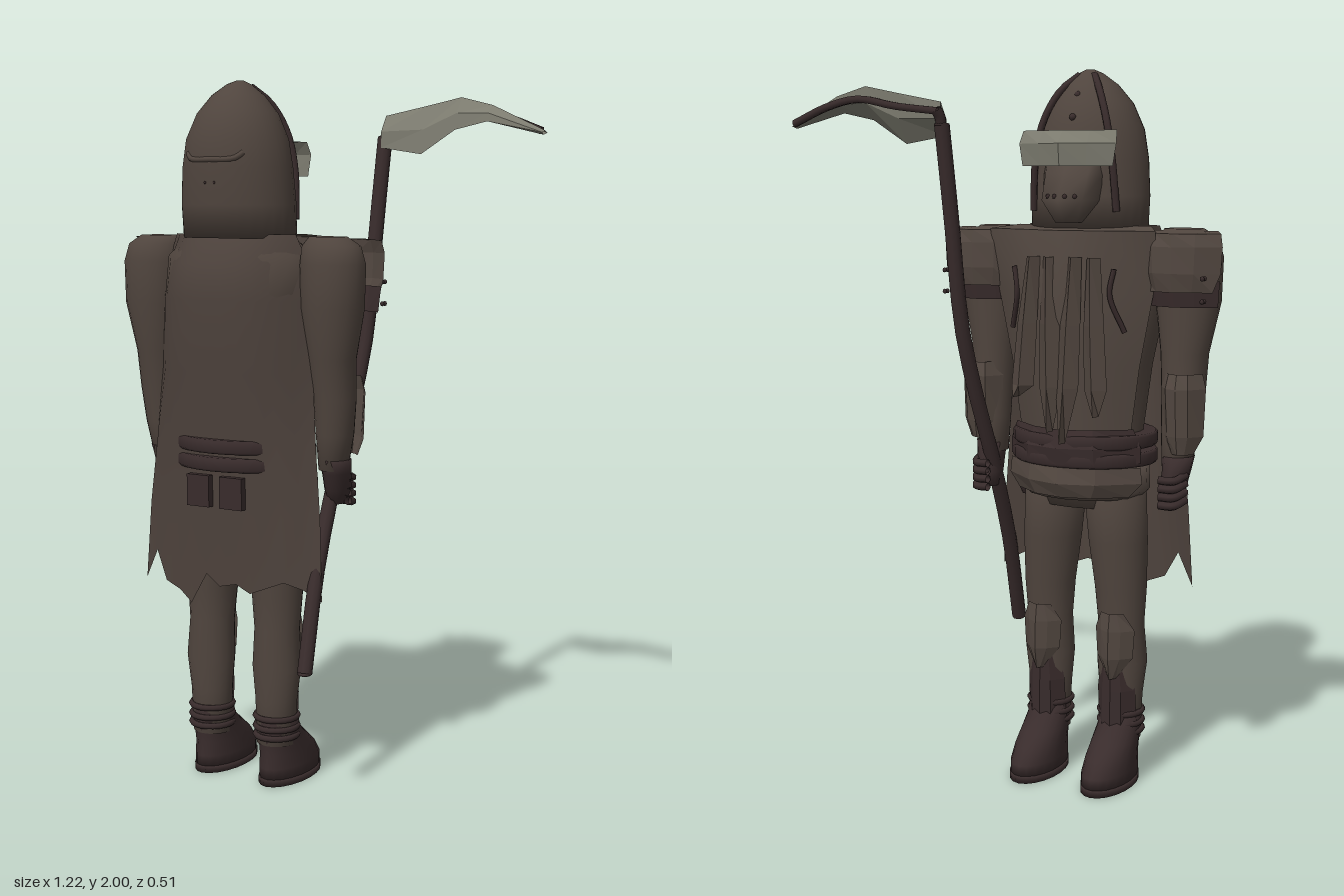
import * as THREE from 'three';

const mat = (name, color) => {
  const m = new THREE.MeshStandardMaterial({ color, side: THREE.DoubleSide });
  m.name = name;
  return m;
};

export function createModel() {
  const cloth = mat('brown cloth', 0x50453e);
  const capeCloth = mat('cape cloth', 0x4d423c);
  const armor = mat('weathered armor', 0x534841);
  const dark = mat('dark leather', 0x392c2c);
  const metal = mat('grey metal', 0x7c7b6f);

  const root = new THREE.Group();
  root.name = 'hoodedWarrior';
  const body = new THREE.Group();
  body.name = 'body';
  body.position.x = -0.2;
  root.add(body);

  const add = (name, geo, material, parent = body) => {
    const m = new THREE.Mesh(geo, material);
    m.name = name;
    parent.add(m);
    return m;
  };

  // Smooth closed form through elliptical rings [y, x, z, rx, rz], bottom to top
  const loft = (rings, n = 20) => {
    const pos = [], idx = [];
    for (const [y, x, z, rx, rz] of rings)
      for (let i = 0; i < n; i++) {
        const a = (i / n) * Math.PI * 2;
        pos.push(x + Math.cos(a) * rx, y, z + Math.sin(a) * rz);
      }
    const top = rings.length - 1;
    for (const k of [0, top]) pos.push(rings[k][1], rings[k][0], rings[k][2]);
    const c0 = rings.length * n;
    for (let i = 0; i < n; i++) {
      const j = (i + 1) % n;
      for (let r = 0; r < top; r++) {
        const a = r * n + i, b = r * n + j;
        idx.push(a, a + n, b, b, a + n, b + n);
      }
      idx.push(c0, i, j, c0 + 1, top * n + j, top * n + i);
    }
    const g = new THREE.BufferGeometry();
    g.setAttribute('position', new THREE.Float32BufferAttribute(pos, 3));
    g.setIndex(idx);
    g.computeVertexNormals();
    return g;
  };

  // Thin panel through rows of points
  const sheet = (rows, flat = true) => {
    const w = rows[0].length, idx = [];
    for (let r = 0; r < rows.length - 1; r++)
      for (let i = 0; i < w - 1; i++) {
        const a = r * w + i;
        idx.push(a, a + w, a + 1, a + 1, a + w, a + w + 1);
      }
    let g = new THREE.BufferGeometry();
    g.setAttribute('position', new THREE.Float32BufferAttribute(rows.flat(2), 3));
    g.setIndex(idx);
    if (flat) g = g.toNonIndexed();
    g.computeVertexNormals();
    return g;
  };

  const tube = (pts, r, n = 8) => new THREE.TubeGeometry(
    new THREE.CatmullRomCurve3(pts.map(p => new THREE.Vector3(...p))), 16, r, n);

  // Creased plate: rows [y, halfWidth, edgeZ, midZ, peakZ] about a centre x
  const plate = (cx, rows, flat = true) => sheet(rows.map(([y, w, e, m, p]) =>
    [[-1, e], [-0.5, m], [0, p], [0.5, m], [1, e]].map(([u, z]) => [cx + u * w, y, z])), flat);

  // Torso
  add('torso', loft([[0.8, 0, 0.07, 0.15, 0.1], [0.9, 0, 0.07, 0.18, 0.13], [1.0, 0, 0.07, 0.165, 0.14],
    [1.2, 0, 0.075, 0.19, 0.15], [1.42, 0, 0.08, 0.235, 0.165], [1.52, 0, 0.08, 0.23, 0.14],
    [1.58, 0, 0.08, 0.15, 0.11]], 28), cloth);
  const chestTop = [1.57, 0.25, -0.035, -0.07, -0.1];
  add('chestPlate', plate(0, [chestTop, [1.4, 0.235, -0.01, -0.09, -0.125],
    [1.2, 0.195, -0.005, -0.08, -0.11], [1.02, 0.17, 0, -0.07, -0.1]], false), armor);
  add('chestTop', plate(0, [chestTop, [1.58, 0.2, 0.05, 0.02, 0]]), armor);

  // Ragged chest cloths
  [[-0.1, 1.08, -0.02], [-0.045, 1.0, 0.01], [0.03, 1.03, -0.015], [0.08, 1.12, 0.02]].forEach(([x, end, drift]) => {
    add('chestCloth', sheet([1.5, 1.32, 1.15, end].map((y, k) => {
      const w = [0.02, 0.03, 0.034, 0.006][k], z = [-0.113, -0.13, -0.138, -0.15][k], c = x + drift * k / 2;
      return [[c - w, y, z + 0.014], [c, y, z - 0.012], [c + w, y, z + 0.014]];
    })), cloth);
  });

  // Belts, hip bands and rear flaps
  for (const y of [0.925, 0.975])
    add('belt', loft([[y, 0, 0.065, 0.205, 0.168], [y + 0.007, 0, 0.065, 0.21, 0.177],
      [y + 0.032, 0, 0.065, 0.21, 0.177], [y + 0.039, 0, 0.065, 0.205, 0.168]], 28), dark);
  add('hipBand', loft([[0.83, 0, 0.06, 0.17, 0.13], [0.85, 0, 0.06, 0.195, 0.14],
    [0.925, 0, 0.06, 0.19, 0.145]], 16), armor);
  add('frontBelt', plate(0, [[1.03, 0.18, -0.005, -0.075, -0.105], [0.98, 0.2, 0, -0.095, -0.122],
    [0.935, 0.2, 0, -0.09, -0.115]]), dark);
  add('frontHipPlate', plate(0, [[0.925, 0.2, 0, -0.08, -0.105], [0.88, 0.205, 0, -0.085, -0.115],
    [0.84, 0.17, -0.01, -0.075, -0.095]]), armor);
  for (const x of [-0.055, 0.055])
    add('rearFlap', new THREE.BoxGeometry(0.075, 0.09, 0.02).translate(x, 0.865, 0.215), dark);

  // Cape with torn hem
  const hem = [0.57, 0.66, 0.58, 0.56, 0.53, 0.62, 0.59, 0.6, 0.58, 0.6, 0.62, 0.6, 0.57];
  const capeRows = [[1.58, 0.2, 0.11, 0.19], [1.5, 0.235, 0.1, 0.235], [1.4, 0.25, 0.105, 0.25],
    [1.2, 0.255, 0.11, 0.235], [1.0, 0.27, 0.12, 0.212], [0.8, 0.29, 0.13, 0.205], [0, 0.302, 0.14, 0.2]];
  add('cape', sheet(capeRows.map(([y, w, e, c]) => hem.map((h, i) => {
    const t = i / 6 - 1, fold = y < 0.9 ? (i % 2) * 0.008 : 0;
    return [w * t, y || h, e + (c - e) * (1 - Math.abs(t) ** 2.6) - fold];
  })), false), capeCloth);

  // Hood
  add('hood', loft([[1.57, 0, 0.085, 0.168, 0.135], [1.66, 0, 0.09, 0.169, 0.14], [1.76, 0, 0.095, 0.161, 0.14],
    [1.84, 0, 0.095, 0.147, 0.134], [1.91, 0, 0.093, 0.116, 0.108], [1.96, 0, 0.09, 0.074, 0.072],
    [1.99, 0, 0.085, 0.034, 0.035], [2.0, 0, 0.08, 0.012, 0.012]], 28), cloth);
  add('hoodFold', tube([[-0.09, 1.8, 0.2], [-0.07, 1.785, 0.214], [0, 1.782, 0.228], [0.07, 1.785, 0.214],
    [0.09, 1.8, 0.2]], 0.009), cloth);
  for (const s of [-1, 1]) {
    add('hoodTrim', tube([[s * 0.022, 1.985, 0.06], [s * 0.06, 1.94, 0.015], [s * 0.095, 1.86, -0.015],
      [s * 0.115, 1.76, -0.022], [s * 0.125, 1.62, -0.012]], 0.01, 6), dark);
    add('backEyelet', new THREE.SphereGeometry(0.004, 6, 4).translate(s * 0.015, 1.72, 0.232), dark);
  }
  for (const [y, z] of [[1.93, 0.005], [1.87, -0.027]])
    add('browStud', new THREE.SphereGeometry(0.01, 8, 6).translate(0, y, z), dark);

  // Face mask, visor and breathing holes
  add('faceMask', loft([[1.59, 0, -0.03, 0.045, 0.05], [1.65, 0, -0.035, 0.085, 0.08],
    [1.72, 0, -0.02, 0.09, 0.06], [1.8, 0, -0.01, 0.08, 0.05]], 8), armor);
  const visorRim = [1.835, 0.14, -0.045, -0.065, -0.085];
  add('visor', plate(0, [visorRim, [1.8, 0.145, -0.06, -0.088, -0.115],
    [1.74, 0.135, -0.06, -0.084, -0.108]]), metal);
  add('visorTop', plate(0, [visorRim, [1.835, 0.12, -0.01, -0.02, -0.03]]), metal);
  for (const x of [-0.04, -0.015, 0.015, 0.04])
    add('maskHole', new THREE.SphereGeometry(0.007, 6, 4).translate(x, 1.66, -0.11 + Math.abs(x) * 0.4), dark);

  for (const s of [-1, 1]) {
    // Arms
    add('sleeve', loft([[0.93, s * 0.285, 0.05, 0.04, 0.045], [1.03, s * 0.293, 0.055, 0.053, 0.055],
      [1.13, s * 0.297, 0.062, 0.06, 0.06], [1.24, s * 0.295, 0.072, 0.066, 0.066], [1.38, s * 0.3, 0.08, 0.09, 0.083],
      [1.5, s * 0.3, 0.08, 0.094, 0.083], [1.55, s * 0.295, 0.08, 0.085, 0.07], [1.575, s * 0.285, 0.08, 0.055, 0.045]]), cloth);
    const shoulderTop = [1.565, 0.115, 0.015, -0.025, -0.045];
    add('shoulderPlate', plate(s * 0.3, [shoulderTop, [1.53, 0.122, 0.01, -0.035, -0.05],
      [1.46, 0.118, 0.01, -0.035, -0.05], [1.41, 0.1, 0, -0.025, -0.04]]), armor);
    add('shoulderCap', plate(s * 0.3, [shoulderTop, [1.57, 0.09, 0.06, 0.06, 0.06]]), armor);
    add('lowerShoulderPlate', plate(s * 0.3, [[1.44, 0.114, 0.015, -0.02, -0.035],
      [1.37, 0.108, 0.02, -0.01, -0.025]]), dark);
    add('forearmGuard', plate(s * 0.31, [[1.19, 0.055, 0.03, -0.01, -0.02], [1.15, 0.065, 0.03, -0.02, -0.03],
      [1.02, 0.06, 0.03, -0.01, -0.02], [0.97, 0.035, 0.02, 0, -0.01]]), armor);
    for (const y of [1.39, 1.45])
      for (const z of [-0.035, -0.05])
        add('shoulderStud', new THREE.SphereGeometry(0.007, 6, 4).translate(s * 0.39, y, z), dark);

    // Gloves
    add('glove', loft([[0.83, s * 0.28, 0.02, 0.022, 0.03], [0.87, s * 0.285, 0.025, 0.035, 0.045],
      [0.92, s * 0.29, 0.04, 0.038, 0.05], [0.96, s * 0.29, 0.05, 0.045, 0.05]], 12), dark);
    for (let i = 0; i < 4; i++)
      add('finger', tube([[s * 0.32, 0.91 - i * 0.023, 0.03], [s * 0.305, 0.9 - i * 0.023, -0.02],
        [s * 0.265, 0.9 - i * 0.023, -0.025]], 0.012, 6), dark);

    // Legs
    add('leg', loft([[0.12, s * 0.112, 0.08, 0.058, 0.055], [0.25, s * 0.113, 0.08, 0.062, 0.058],
      [0.35, s * 0.115, 0.08, 0.073, 0.065], [0.46, s * 0.113, 0.075, 0.066, 0.065],
      [0.56, s * 0.112, 0.072, 0.074, 0.072], [0.7, s * 0.103, 0.07, 0.084, 0.085], [0.88, s * 0.09, 0.07, 0.088, 0.1]]), cloth);
    add('kneeGuard', plate(s * 0.115, [[0.5, 0.035, 0.01, 0, -0.01], [0.45, 0.06, 0.03, 0, -0.018],
      [0.37, 0.055, 0.03, 0, -0.02], [0.31, 0.012, 0.01, 0, -0.01]]), armor);
    add('shinGuard', plate(s * 0.112, [[0.35, 0.045, 0.04, 0.015, 0.008], [0.27, 0.058, 0.05, 0.015, 0.005],
      [0.15, 0.06, 0.06, 0.015, 0.005]]), dark);

    // Boots with ankle straps
    add('boot', loft([[0.015, s * 0.113, 0.008, 0.067, 0.128], [0.05, s * 0.113, 0.008, 0.067, 0.128],
      [0.09, s * 0.113, 0.022, 0.065, 0.11], [0.125, s * 0.113, 0.045, 0.063, 0.09],
      [0.16, s * 0.113, 0.07, 0.061, 0.068], [0.21, s * 0.113, 0.078, 0.06, 0.058]], 20), dark);
    add('sole', loft([[0, s * 0.113, 0.008, 0.069, 0.132], [0.02, s * 0.113, 0.008, 0.069, 0.132]], 20), dark);
    for (const y of [0.145, 0.17, 0.2])
      add('ankleStrap', new THREE.TorusGeometry(0.061, 0.009, 6, 20).rotateX(Math.PI / 2).translate(s * 0.113, y, 0.08), dark);

    // Chest straps
    add('chestStrap', tube([[s * 0.15, 1.47, -0.078], [s * 0.14, 1.4, -0.082], [s * 0.17, 1.3, -0.05]], 0.007, 6), dark);
  }

  // Hip pouch
  add('hipPouch', loft([[0.8, 0.2, 0.11, 0.02, 0.03], [0.84, 0.21, 0.11, 0.03, 0.04],
    [0.95, 0.21, 0.11, 0.03, 0.04], [1.0, 0.2, 0.11, 0.022, 0.03]], 12), dark);

  // Scythe shaft, blade and blade spine
  const scythe = new THREE.Group();
  scythe.name = 'scythe';
  root.add(scythe);
  const path = [[0.095, 0.385, 0.22], [0.077, 0.65, 0.125], [0.07, 0.9, 0.015], [0.08, 1.1, -0.065],
    [0.088, 1.3, -0.13], [0.093, 1.6, -0.175], [0.1, 1.85, -0.21]];
  add('shaft', tube(path, 0.021, 10), dark, scythe);
  for (const p of [path[0], path[6]])
    add('shaftEnd', new THREE.SphereGeometry(0.021, 10, 6).scale(1, 0.3, 1).translate(...p), dark, scythe);
  const edge = [[0.1, 1.82, -0.185], [0.23, 1.8, -0.18], [0.33, 1.865, -0.19], [0.43, 1.885, -0.185], [0.6, 1.845, -0.175]];
  const back = [[0.1, 1.91, -0.215], [0.23, 1.935, -0.225], [0.33, 1.955, -0.23], [0.43, 1.93, -0.22], [0.6, 1.857, -0.185]];
  const ridge = offset => edge.map((p, i) => p.map((v, k) => (v + back[i][k]) / 2 + (k === 2 ? offset : 0)));
  add('blade', sheet([back, ridge(0.014), edge]), metal, scythe);
  add('bladeBack', sheet([back, ridge(-0.02), edge]), metal, scythe);
  add('bladeSpine', tube([[0.1, 1.885, -0.232], [0.23, 1.9, -0.24], [0.34, 1.92, -0.245], [0.45, 1.902, -0.235],
    [0.575, 1.858, -0.22]], 0.011, 6), dark, scythe);
  add('bladeNeck', tube([[0.1, 1.84, -0.21], [0.1, 1.87, -0.22], [0.105, 1.89, -0.232]], 0.015, 8), dark, scythe);

  return root;
}
